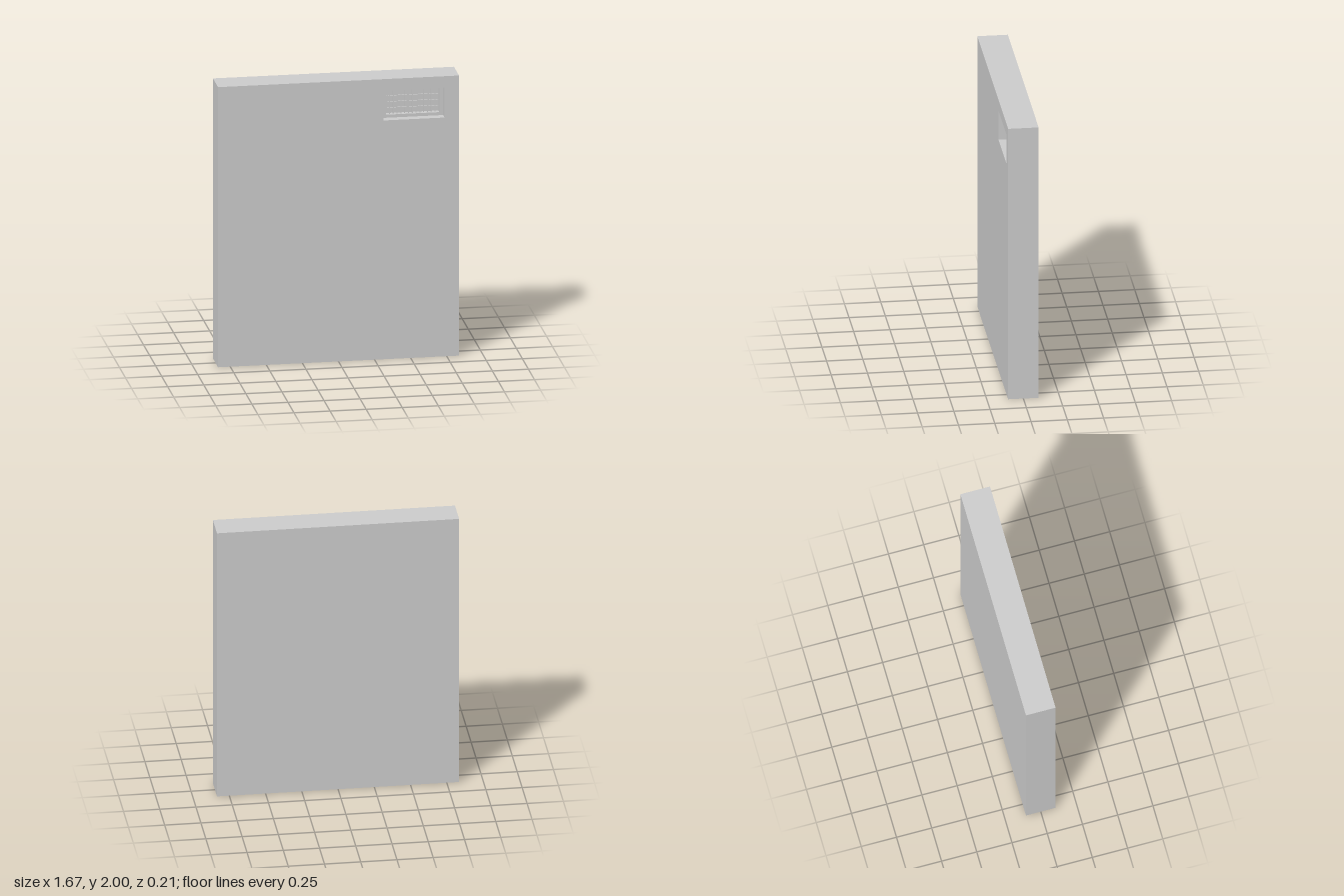
import * as THREE from 'three';

const FRONT = 0.105, LEDGE = 0.045, POCKET = 0.005;
const WALL = { x0: -0.835, x1: 0.835, y0: 0, y1: 2 };
const RECESS = { x0: 0.31, x1: 0.735, y0: 1.705, y1: 1.92 };
const OPENING = { x0: 0.34, x1: 0.708, y0: 1.727, y1: 1.898 };

export function createModel() {
  const group = new THREE.Group();
  const grey = new THREE.MeshStandardMaterial({ color: 0xcccccc });
  const inside = new THREE.MeshStandardMaterial({ color: 0xcccccc, side: THREE.BackSide });

  const add = (name, geometry, material = grey, parent = group) => {
    const mesh = new THREE.Mesh(geometry, material);
    mesh.name = name;
    parent.add(mesh);
    return mesh;
  };

  // Box over a rectangle, with its +z face left out on request
  const box = (r, z0, z1, open = false) => {
    const g = new THREE.BoxGeometry(r.x1 - r.x0, r.y1 - r.y0, z1 - z0);
    if (open) {
      const index = Array.from(g.index.array);
      index.splice(24, 6);
      g.setIndex(index);
      g.clearGroups();
    }
    return g.translate((r.x0 + r.x1) / 2, (r.y0 + r.y1) / 2, (z0 + z1) / 2);
  };

  // Flat rectangle facing +z with a rectangular hole
  const trace = (path, r) => path.moveTo(r.x0, r.y0).lineTo(r.x1, r.y0)
    .lineTo(r.x1, r.y1).lineTo(r.x0, r.y1).closePath();
  const face = (outer, hole, z) => {
    const shape = trace(new THREE.Shape(), outer);
    shape.holes.push(trace(new THREE.Path(), hole));
    return new THREE.ShapeGeometry(shape).translate(0, 0, z);
  };

  // Wall slab with a stepped recess
  add('wallBody', box(WALL, -FRONT, FRONT, true));
  add('wallFront', face(WALL, RECESS, FRONT));
  const sides = box(RECESS, LEDGE, FRONT, true);
  sides.setIndex(Array.from(sides.index.array).slice(0, 24));
  add('recessSides', sides, inside);
  add('recessLedge', face(RECESS, OPENING, LEDGE));
  add('ventPocket', box(OPENING, POCKET, LEDGE, true), inside);

  // Vent grille: upright bars crossed by horizontal bars
  const grille = new THREE.Group();
  grille.name = 'ventGrille';
  group.add(grille);
  const half = 0.003, columns = 14, rows = 4;
  for (let i = 1; i < columns; i++) {
    const x = THREE.MathUtils.lerp(OPENING.x0, OPENING.x1, i / columns);
    add('uprightBar', box({ ...OPENING, x0: x - half, x1: x + half }, 0.02, 0.03), grey, grille);
  }
  for (let j = 1; j < rows; j++) {
    const y = THREE.MathUtils.lerp(OPENING.y0, OPENING.y1, j / rows);
    add('crossBar', box({ ...OPENING, y0: y - half, y1: y + half }, 0.022, 0.032), grey, grille);
  }
  return group;
}
